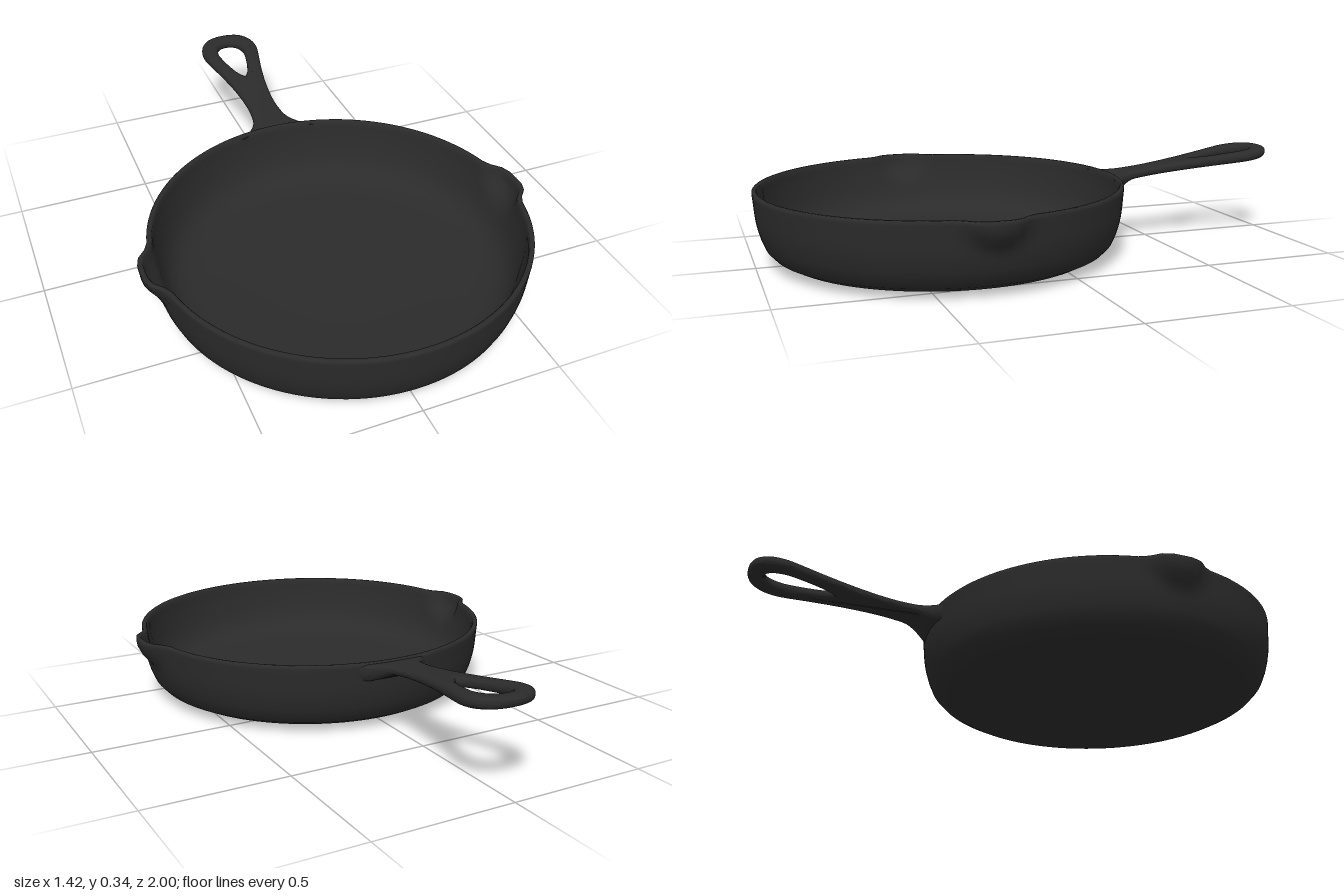
import * as THREE from 'three';
import { mergeVertices, toCreasedNormals } from 'three/addons/utils/BufferGeometryUtils.js';

const PAN_Z = 0.333; // centre of the bowl along z
const RIM_Y = 0.265;
const HANDLE_X = 0.01; // the handle sits slightly off centre
const v2 = (x, y) => new THREE.Vector2(x, y);
const smooth = THREE.MathUtils.smoothstep;

// Moves every vertex by a rule
function warp(geometry, rule) {
  const p = geometry.attributes.position;
  const v = new THREE.Vector3();
  for (let i = 0; i < p.count; i++) {
    v.fromBufferAttribute(p, i);
    rule(v);
    p.setXYZ(i, v.x, v.y, v.z);
  }
  return geometry;
}

// Welds the surface, then smooths it except at sharp edges
function finish(geometry, crease) {
  geometry.deleteAttribute('uv');
  geometry.deleteAttribute('normal');
  return toCreasedNormals(mergeVertices(geometry, 1e-4), crease);
}

// Bowl: turned profile with a pouring lip pushed out on each side
function bowlGeometry() {
  const outer = [
    [0, 0], [0.25, 0.001], [0.46, 0.004], [0.52, 0.008], [0.568, 0.018], [0.605, 0.037],
    [0.628, 0.062], [0.642, 0.095], [0.652, 0.13], [0.657, 0.155], [0.66, 0.18],
    [0.662, 0.205], [0.664, 0.23], [0.666, 0.25], [0.666, 0.261],
  ];
  const inner = [
    [0.662, 0.265], [0.652, 0.265], [0.648, 0.26], [0.646, 0.24], [0.643, 0.215],
    [0.638, 0.19], [0.632, 0.165], [0.624, 0.135], [0.612, 0.105], [0.594, 0.075],
    [0.565, 0.052], [0.525, 0.038], [0.47, 0.031], [0.25, 0.027], [0, 0.026],
  ];
  const profile = [...outer, ...inner].map(([r, y]) => v2(r, y));
  const geometry = new THREE.LatheGeometry(profile, 120);
  warp(geometry, (v) => {
    const angle = Math.atan2(v.z, Math.abs(v.x));
    const t = 1 - Math.hypot(angle / 0.2, (RIM_Y - v.y) / 0.12);
    const push = 0.044 * smooth(1.5 * t, 0, 1);
    const r = Math.hypot(v.x, v.z) || 1;
    v.x *= 1 + push / r;
    v.z *= 1 + push / r;
    v.z += PAN_Z;
  });
  return finish(geometry, 1.1);
}

// Handle: flared root, narrow neck and a looped end with a teardrop hole
function handleGeometry() {
  const side = new THREE.SplineCurve([
    v2(0.16, 0.3), v2(0.11, 0.335), v2(0.073, 0.385), v2(0.06, 0.45), v2(0.059, 0.53),
    v2(0.071, 0.64), v2(0.092, 0.75), v2(0.113, 0.84), v2(0.12, 0.89), v2(0.11, 0.94),
    v2(0.078, 0.98), v2(0.035, 0.997), v2(0, 1),
  ]).getPoints(56);
  const hole = new THREE.SplineCurve([
    v2(0, 0.69), v2(0.022, 0.725), v2(0.042, 0.79), v2(0.054, 0.85), v2(0.055, 0.88),
    v2(0.045, 0.915), v2(0.025, 0.935), v2(0, 0.941),
  ]).getPoints(28);
  const mirrored = (half) => half.slice(0, -1).reverse().map((p) => v2(-p.x, p.y));

  const root = [v2(-0.08, 0.31), v2(0, 0.318), v2(0.08, 0.31)];
  const shape = new THREE.Shape([...side, ...mirrored(side), ...root]);
  shape.holes.push(new THREE.Path([...hole, ...mirrored(hole).slice(0, -1)]));

  const geometry = new THREE.ExtrudeGeometry(shape, {
    depth: 0.004, bevelThickness: 0.016, bevelSize: 0.018, bevelOffset: -0.018,
    bevelSegments: 5, curveSegments: 1,
  });
  geometry.translate(0, 0, -0.002);
  geometry.rotateX(-Math.PI / 2);
  warp(geometry, (v) => {
    const along = -v.z;
    // Underside swells where it meets the bowl
    if (v.y < 0) v.y *= 1 + 2 * (1 - smooth(along, 0.31, 0.42));
    v.y *= 0.85 + 0.25 * smooth(along, 0.4, 0.95);
    v.y += 0.248 + 0.118 * (along - 0.36) + 0.006 * v.x;
    v.x += HANDLE_X;
  });
  return finish(geometry, 0.9);
}

export function createModel() {
  const castIron = new THREE.MeshStandardMaterial({ color: 0x2b2b2b });
  castIron.name = 'cast iron';

  const model = new THREE.Group();
  model.name = 'fryingPan';
  const add = (name, geometry) => {
    const mesh = new THREE.Mesh(geometry, castIron);
    mesh.name = name;
    model.add(mesh);
  };
  add('bowl', bowlGeometry());
  add('handle', handleGeometry());
  return model;
}
